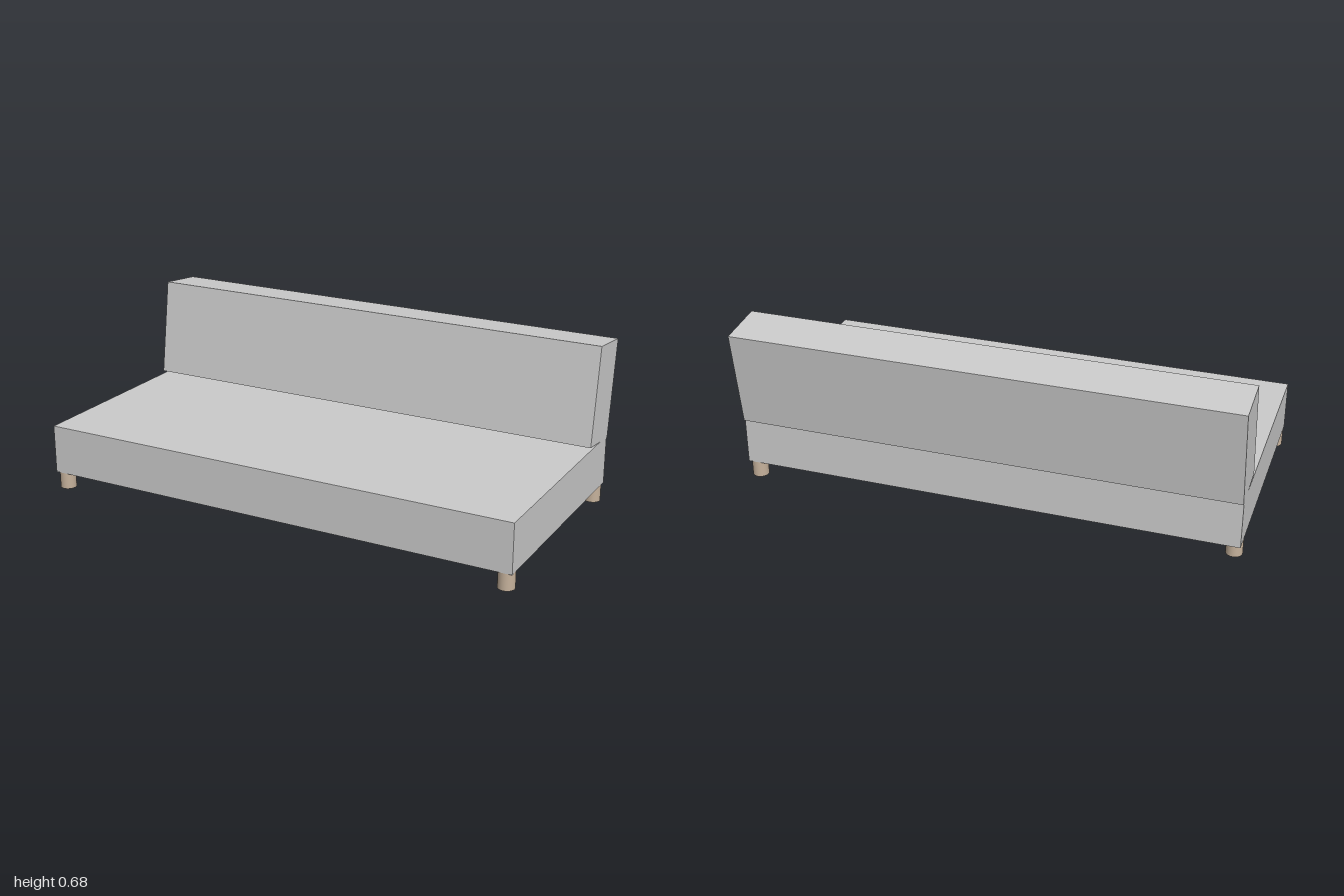
import * as THREE from 'three';

const fabric = new THREE.MeshStandardMaterial({ color: 0xcccccc });
const wood = new THREE.MeshStandardMaterial({ color: 0xc6b29c });

// Full-width cushion from a side profile of [z, y] points
function cushion(name, profile) {
  const shape = new THREE.Shape(profile.map(([z, y]) => new THREE.Vector2(-z, y)));
  const geometry = new THREE.ExtrudeGeometry(shape, { depth: 2, bevelEnabled: false });
  geometry.translate(0, 0, -1).rotateY(Math.PI / 2);
  const mesh = new THREE.Mesh(geometry, fabric);
  mesh.name = name;
  return mesh;
}

export function createModel() {
  const model = new THREE.Group();
  model.name = 'sofa';

  // Seat slab and tilted backrest
  model.add(cushion('seat', [[0.516, 0.068], [-0.449, 0.068], [-0.449, 0.267], [0.516, 0.267]]));
  model.add(cushion('backrest', [[-0.26, 0.279], [-0.457, 0.258], [-0.516, 0.654], [-0.319, 0.675]]));

  // Short round legs; the rear right one sits slightly further forward
  const radius = 0.0325, height = 0.068;
  const legGeometry = new THREE.CylinderGeometry(radius, radius, height, 32);
  const legs = [
    ['frontLeftLeg', 1, 0.484],
    ['frontRightLeg', -1, 0.484],
    ['rearLeftLeg', 1, -0.416],
    ['rearRightLeg', -1, -0.381],
  ];
  for (const [name, side, z] of legs) {
    const leg = new THREE.Mesh(legGeometry, wood);
    leg.name = name;
    leg.position.set(side * (1 - radius), height / 2, z);
    model.add(leg);
  }
  return model;
}
